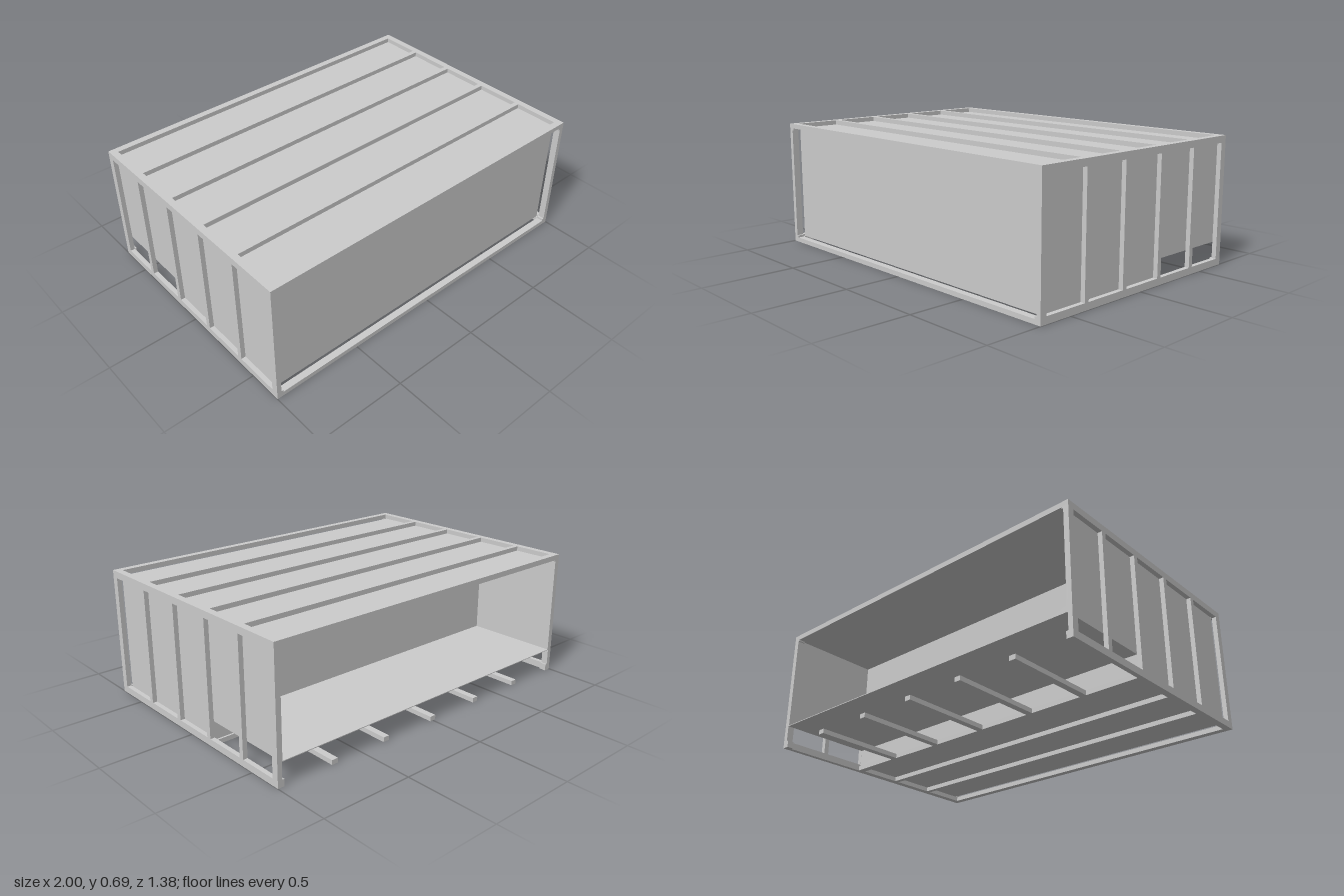
import * as THREE from 'three';

const W = 1, H = 0.694, D = 0.69;   // half width, height, half depth
const T = 0.025, RAIL = 0.037;      // frame thickness and rail width
const STEP = -0.162;                // z of the dividing wall
const SHELF = 0.125;                // height of the raised rear deck
const BARS = [-0.418, -0.149, 0.12, 0.391];

const material = new THREE.MeshStandardMaterial({ color: 0xcccccc });

function box(parent, name, x0, x1, y0, y1, z0, z1) {
  const mesh = new THREE.Mesh(new THREE.BoxGeometry(x1 - x0, y1 - y0, z1 - z0), material);
  mesh.position.set((x0 + x1) / 2, (y0 + y1) / 2, (z0 + z1) / 2);
  mesh.name = name;
  parent.add(mesh);
  return mesh;
}

function rectangle(target, u0, u1, v0, v1) {
  target.moveTo(u0, v0);
  target.lineTo(u1, v0);
  target.lineTo(u1, v1);
  target.lineTo(u0, v1);
  target.closePath();
  return target;
}

// Flat frame in the u-v plane, divided along u by cross bars
function frameGeometry(u0, u1, v0, v1, bars) {
  const shape = rectangle(new THREE.Shape(), u0, u1, v0, v1);
  const half = 0.0135;
  const starts = [u0 + RAIL, ...bars.map(b => b + half)];
  const ends = [...bars.map(b => b - half), u1 - RAIL];
  starts.forEach((s, i) => {
    shape.holes.push(rectangle(new THREE.Path(), s, ends[i], v0 + RAIL, v1 - RAIL));
  });
  return new THREE.ExtrudeGeometry(shape, { depth: T, bevelEnabled: false });
}

export function createModel() {
  const model = new THREE.Group();
  model.name = 'framedContainer';

  // Side frames: u runs along -z, extrusion along +x
  for (const [name, x] of [['leftFrame', W - T], ['rightFrame', -W]]) {
    const frame = new THREE.Mesh(frameGeometry(-D, D, 0, H, BARS.map(b => -b).reverse()), material);
    frame.rotation.y = Math.PI / 2;
    frame.position.x = x;
    frame.name = name;
    model.add(frame);
  }

  // Roof and floor frames: u runs along z, v along x, extrusion along y
  const flat = new THREE.Matrix4().makeBasis(
    new THREE.Vector3(0, 0, 1), new THREE.Vector3(1, 0, 0), new THREE.Vector3(0, 1, 0));
  const roof = new THREE.Mesh(frameGeometry(-D, D, -W, W, BARS).applyMatrix4(flat), material);
  roof.position.y = H - T;
  roof.name = 'roofFrame';
  const floor = new THREE.Mesh(
    frameGeometry(STEP - RAIL + 0.027, D, -W, W, BARS.slice(2)).applyMatrix4(flat), material);
  floor.name = 'floorFrame';
  model.add(roof, floor);

  // Small blocks joining the frames at the corners
  for (const sx of [-1, 1]) for (const y of [0, H - RAIL]) for (const sz of [-1, 1]) {
    const x = sx * (W - RAIL / 2), z = sz * (D - RAIL / 2), h = RAIL / 2;
    box(model, 'cornerBlock', x - h, x + h, y, y + RAIL, z - h, z + h);
  }

  // Thin panels lining the inside of the frames
  const P = 0.004, X = W - T, top = H - T, front = 0.64;
  box(model, 'frontPanel', -X, X, T, top, front - P, front);
  box(model, 'roofPanel', -X, X, top - P, top, -D, front);
  box(model, 'floorPanel', -X, X, T, T + P, STEP, front);
  box(model, 'dividingWall', -X, X, T, top, STEP, STEP + P);
  box(model, 'rearDeck', -X, X, SHELF, SHELF + P, -D, STEP);
  for (const s of [-1, 1]) {
    const a = Math.min(s * X, s * (X - P));
    box(model, 'frontSidePanel', a, a + P, T, top, STEP, front);
    box(model, 'rearSidePanel', a, a + P, SHELF, top, -D, STEP);
  }

  // Floor beams reaching back under the rear deck
  for (let i = -2; i <= 2; i++) {
    const x = i / 3;
    box(model, 'floorBeam', x - 0.018, x + 0.018, 0, T, -D, STEP);
  }

  return model;
}
